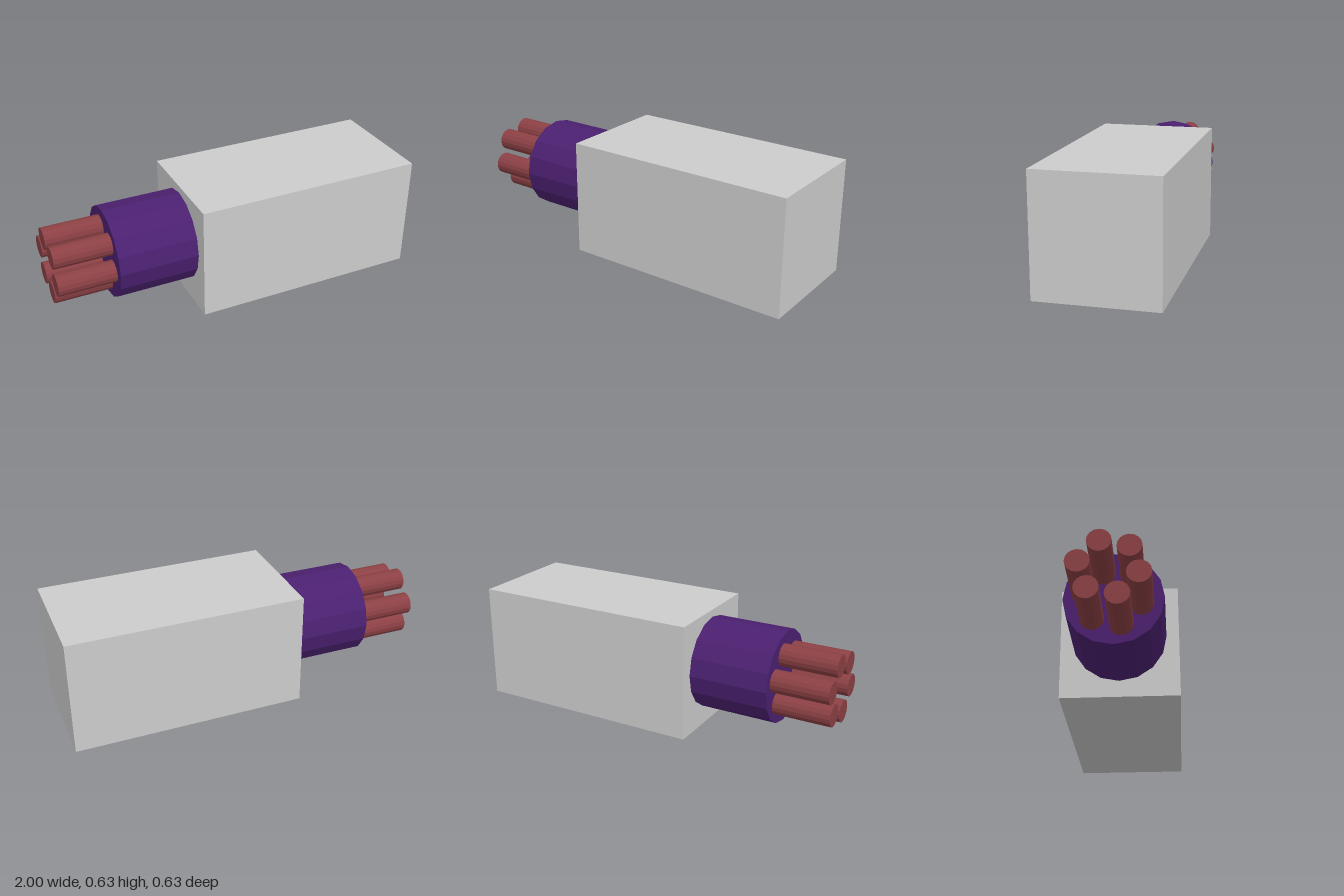
import * as THREE from 'three';

export function createModel() {
  const group = new THREE.Group();
  const material = (color) => new THREE.MeshStandardMaterial({ color, flatShading: true });

  // Cylinder lying along x between x0 and x1
  function rod(name, radius, x0, x1, y, z, mat) {
    const geometry = new THREE.CylinderGeometry(radius, radius, x1 - x0, 16);
    geometry.rotateZ(Math.PI / 2);
    const mesh = new THREE.Mesh(geometry, mat);
    mesh.name = name;
    mesh.position.set((x0 + x1) / 2, y, z);
    group.add(mesh);
  }

  // Square housing
  const housing = new THREE.Mesh(new THREE.BoxGeometry(1.26, 0.63, 0.63), material(0xcccccc));
  housing.name = 'housing';
  housing.position.set(0.37, 0.315, 0);
  group.add(housing);

  // Collar behind the housing
  rod('collar', 0.25, -0.69, -0.25, 0.34, -0.002, material(0x4b2070));

  // Ring of six prongs
  const prongMaterial = material(0x8b4044);
  for (let i = 0; i < 6; i++) {
    const a = THREE.MathUtils.degToRad(47 + 60 * i);
    rod('prong' + (i + 1), 0.06, -1, -0.6,
      0.336 + 0.146 * Math.sin(a), -0.006 + 0.146 * Math.cos(a), prongMaterial);
  }
  return group;
}
